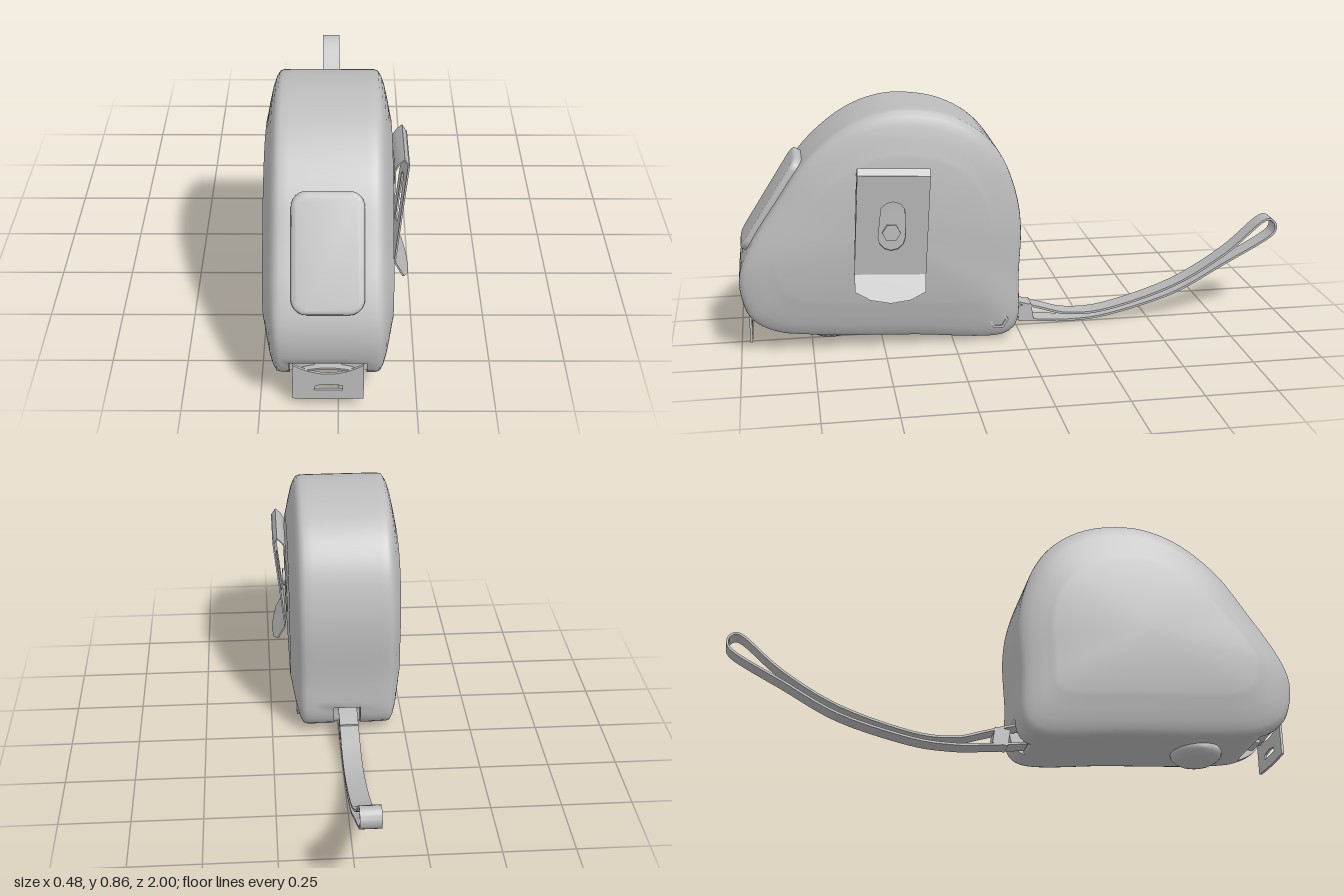
import * as THREE from 'three';
import { toCreasedNormals } from 'three/addons/utils/BufferGeometryUtils.js';

const MID = -0.0325; // x of the case's centre plane
const grey = new THREE.MeshStandardMaterial({ color: 0xbcbcbc });
grey.name = 'grey';
const V2 = (p) => new THREE.Vector2(p[0], p[1]);

function add(parent, name, geometry, x = 0, y = 0, z = 0) {
  const mesh = new THREE.Mesh(geometry, grey);
  mesh.name = name;
  mesh.position.set(x, y, z);
  parent.add(mesh);
  return mesh;
}

// Strip of even thickness following a 2D path, extruded to a width
function ribbon(points, thickness, width) {
  const p = points.map(V2);
  const side = (s) => p.map((q, i) => {
    const d = p[Math.min(i + 1, p.length - 1)].clone().sub(p[Math.max(i - 1, 0)]).normalize();
    return new THREE.Vector2(q.x - d.y * s, q.y + d.x * s);
  });
  const shape = new THREE.Shape([...side(thickness / 2), ...side(-thickness / 2).reverse()]);
  return toCreasedNormals(new THREE.ExtrudeGeometry(shape, { depth: width, bevelEnabled: false }), 0.6);
}

// Thin plate drawn in (z, y), leaning in x by a rule of its height
function leaningPlate(outline, hole, thickness, xAt) {
  const flip = (p) => new THREE.Vector2(-p[0], p[1]);
  const shape = new THREE.Shape(outline.map(flip));
  if (hole) shape.holes.push(new THREE.Path(hole.map(flip)));
  const g = new THREE.ExtrudeGeometry(shape, { depth: thickness, bevelEnabled: false });
  g.rotateY(Math.PI / 2);
  const pos = g.attributes.position;
  for (let i = 0; i < pos.count; i++) pos.setX(i, pos.getX(i) + xAt(pos.getY(i)));
  g.computeVertexNormals();
  return g;
}

// Case: side outline lofted across x, shrinking towards the flat cheeks,
// with a mouth at the front and a strap slot at the back
function caseGeometry() {
  const outline = [[0.42, 0.862], [0.27, 0.84], [0.15, 0.775], [0.07, 0.68], [0.018, 0.54], [0.002, 0.42],
    [0.01, 0.24], [0.018, 0.06], [0.06, 0.02], [0.4, 0.036], [0.76, 0.06], [0.88, 0.08], [0.96, 0.13],
    [0.995, 0.23], [0.99, 0.31], [0.95, 0.4], [0.855, 0.545], [0.76, 0.68], [0.67, 0.765], [0.585, 0.82], [0.505, 0.85]];
  const curve = new THREE.CatmullRomCurve3(outline.map(([z, y]) => new THREE.Vector3(0, y, z)), true, 'centripetal');
  const loop = curve.getSpacedPoints(120).slice(0, 120);
  const n = loop.length;
  // [distance from middle, shrink 0..1, notch level]
  const half = [[0.05, 0, 2], [0.05, 0, 1], [0.1225, 0, 1], [0.1225, 0, 0], [0.15, 0.005, 0], [0.163, 0.03, 0],
    [0.174, 0.14, 0], [0.184, 0.32, 0], [0.195, 0.62, 0], [0.203, 0.88, 0], [0.2075, 1, 0]];
  const rings = [...half.map(([d, t, k]) => [-d, t, k]).reverse(), ...half];
  const pos = [], idx = [];
  for (const [d, t, notch] of rings) {
    for (const p of loop) {
      let z = p.z, y = p.y;
      if (notch >= 1 && z > 0.88 && y < 0.18) z = 0.88;
      if (notch >= 2 && z < 0.06 && y < 0.105) z = 0.06;
      pos.push(MID + d, 0.43 + (y - 0.43) * (1 - 0.38 * t), 0.47 + (z - 0.47) * (1 - 0.26 * t));
    }
  }
  for (let j = 0; j < rings.length - 1; j++) {
    for (let i = 0; i < n; i++) {
      const a = j * n + i, b = j * n + (i + 1) % n;
      idx.push(a, a + n, b, b, a + n, b + n);
    }
  }
  // Flat cheeks
  const c = rings.length * n, last = c - n;
  pos.push(MID - 0.2075, 0.43, 0.47, MID + 0.2075, 0.43, 0.47);
  for (let i = 0; i < n; i++) {
    const k = (i + 1) % n;
    idx.push(c, i, k, c + 1, last + k, last + i);
  }
  const g = new THREE.BufferGeometry();
  g.setAttribute('position', new THREE.Float32BufferAttribute(pos, 3));
  g.setIndex(idx);
  return toCreasedNormals(g, 1.3);
}

function roundedRect(w, h, r) {
  const s = new THREE.Shape();
  const corners = [[1, 1, 0], [-1, 1, 1], [-1, -1, 2], [1, -1, 3]];
  for (const [sx, sy, q] of corners) {
    s.absarc(sx * (w / 2 - r), sy * (h / 2 - r), r, q * Math.PI / 2, (q + 1) * Math.PI / 2, false);
  }
  return s;
}

export function createModel() {
  const model = new THREE.Group();
  model.name = 'tapeMeasure';
  add(model, 'case', caseGeometry());

  // Sliding lock button on the sloping front
  const button = toCreasedNormals(new THREE.ExtrudeGeometry(roundedRect(0.2, 0.352, 0.035),
    { depth: 0.04, bevelThickness: 0.012, bevelSize: 0.014, bevelSegments: 3, curveSegments: 6 }), 0.8);
  add(model, 'lockButton', button, MID, 0.505, 0.845).rotation.x = -0.57;

  // Mouth: guide blocks, tape end and hook
  for (const s of [-1, 1]) {
    add(model, 'mouthGuide', new THREE.BoxGeometry(0.08, 0.05, 0.07), MID + s * 0.0825, 0.15, 0.91);
  }
  const bladePath = [];
  for (let i = 0; i <= 10; i++) {
    const u = i / 5 - 1;
    bladePath.push([u * 0.08, 0.012 - u * u * 0.012]);
  }
  add(model, 'tapeBlade', ribbon(bladePath, 0.006, 0.1), MID, 0.133, 0.865);
  const hook = new THREE.Shape();
  hook.moveTo(-0.113, 0.028);
  hook.quadraticCurveTo(0, 0.02, 0.113, 0.028);
  hook.lineTo(0.113, 0.162);
  hook.quadraticCurveTo(0, 0.09, -0.113, 0.162);
  hook.closePath();
  hook.holes.push(new THREE.Path([[-0.045, 0.062], [-0.04, 0.08], [0, 0.085], [0.046, 0.08], [0.046, 0.062]].map(V2)));
  add(model, 'endHook', new THREE.ExtrudeGeometry(hook, { depth: 0.009, bevelEnabled: false }), MID, 0, 0.96);

  // Round foot underneath
  add(model, 'foot', new THREE.SphereGeometry(1, 24, 12), MID, 0.045, 0.68).scale.set(0.1, 0.043, 0.092);

  // Hexagonal case screws on the left cheek
  for (const [x, y, z] of [[0.168, 0.255, 0.8], [0.15, 0.085, 0.09]]) {
    const ring = new THREE.Shape();
    ring.absarc(0, 0, 0.036, 0, Math.PI * 2);
    const bore = new THREE.Path();
    bore.absarc(0, 0, 0.026, 0, Math.PI * 2);
    ring.holes.push(bore);
    const collar = new THREE.ExtrudeGeometry(ring, { depth: 0.06, bevelEnabled: false, curveSegments: 3 });
    add(model, 'screwCollar', collar.rotateY(Math.PI / 2), x - 0.055, y, z);
    add(model, 'screw', new THREE.CylinderGeometry(0.027, 0.027, 0.05, 6).rotateZ(Math.PI / 2), x - 0.027, y, z);
  }

  // Belt clip: inner leaf folding over the top, outer leaf with slot, flared lip
  const clip = new THREE.Group();
  clip.name = 'beltClip';
  clip.position.set(0, 0.45, 0.468);
  clip.rotation.x = -0.05;
  model.add(clip);
  const fold = [[0.178, 0.355], [0.179, 0.5], [0.182, 0.635], [0.192, 0.655], [0.211, 0.674], [0.224, 0.65]];
  add(clip, 'clipInnerLeaf', ribbon(fold.map(([x, y]) => [x, y - 0.45]), 0.005, 0.25), 0, 0, -0.125);
  const slot = [];
  for (let i = 0; i < 12; i++) {
    const a = i * Math.PI / 6;
    slot.push([0.047 * Math.cos(a), 0.02 + 0.05 * Math.sin(a) + (i > 0 && i < 6 ? 0.04 : -0.04)]);
  }
  const leanUp = (y) => 0.183 + (y + 0.16) * 0.108;
  add(clip, 'clipOuterLeaf', leaningPlate(
    [[0.125, -0.16], [-0.125, -0.16], [-0.125, 0.203], [0.125, 0.203]], slot, 0.006, leanUp));
  add(clip, 'clipLip', leaningPlate(
    [[0.125, -0.16], [0.123, -0.215], [0.07, -0.24], [0, -0.25], [-0.07, -0.24], [-0.123, -0.215], [-0.125, -0.16]],
    null, 0.006, (y) => 0.183 - (y + 0.16) * 0.53));
  add(clip, 'clipScrew', new THREE.CylinderGeometry(0.032, 0.032, 0.025, 6).rotateZ(Math.PI / 2), 0.178, -0.01, 0);

  // Wrist strap: one looped ribbon, doubled back at the tip, in (-z, y)
  const strapPath = new THREE.SplineCurve([[-0.058, 0.098], [0, 0.09], [0.1, 0.06], [0.2, 0.034], [0.35, 0.042], [0.6, 0.118],
    [0.8, 0.232], [0.94, 0.35], [0.985, 0.352], [0.993, 0.315], [0.95, 0.277], [0.8, 0.196], [0.6, 0.09], [0.35, 0.021],
    [0.2, 0.008], [0.1, 0.014], [0, 0.024], [-0.058, 0.03]].map(V2));
  const strap = ribbon(strapPath.getPoints(85).map((p) => [p.x, p.y]), 0.008, 0.07);
  add(model, 'wristStrap', strap.rotateY(Math.PI / 2), -0.07, 0, 0);
  add(model, 'strapKeeper', new THREE.BoxGeometry(0.07, 0.06, 0.055), -0.035, 0.048, -0.035).rotation.x = 0.15;
  return model;
}
